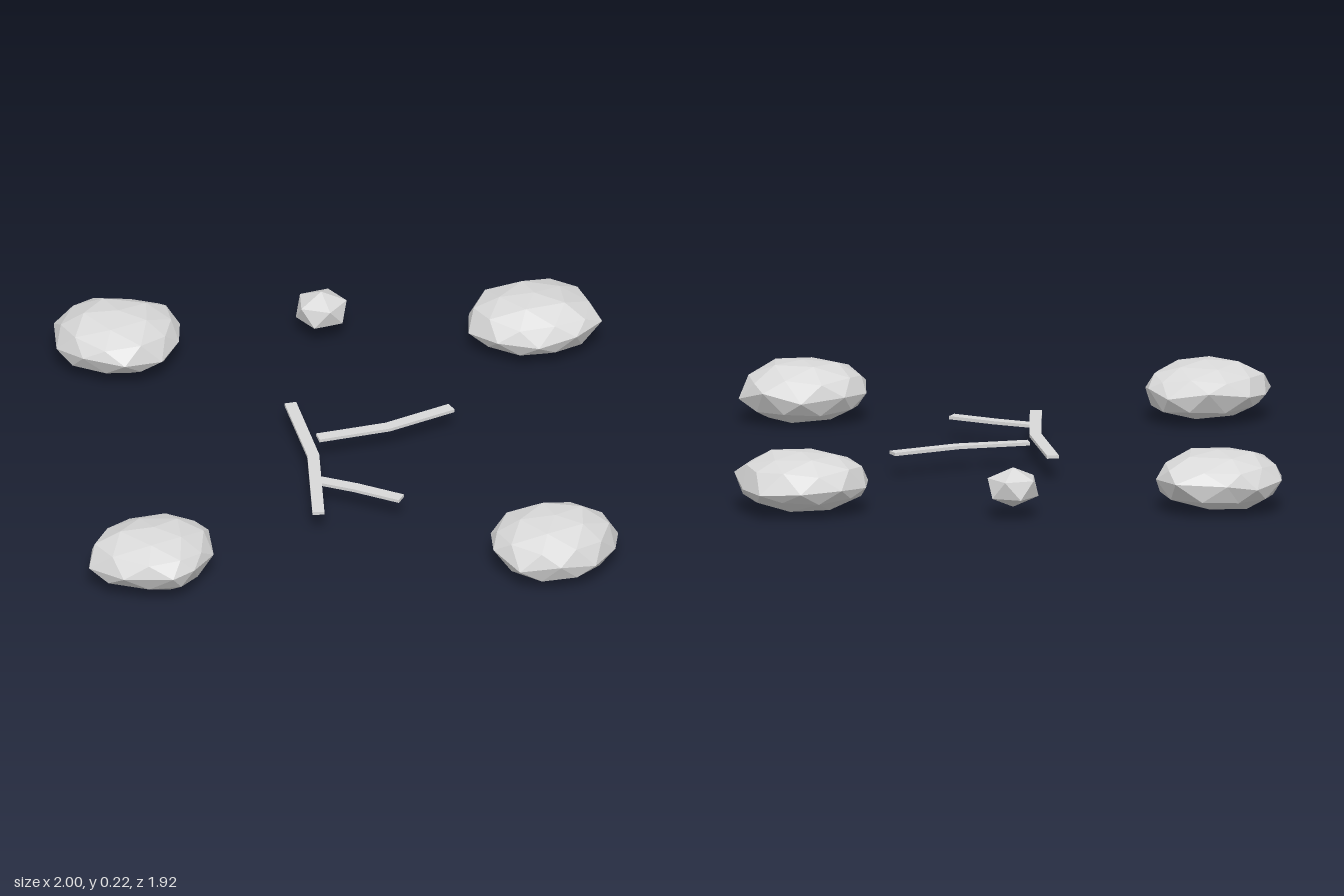
import * as THREE from 'three';

const stone = new THREE.MeshStandardMaterial({ color: 0xd8d8d8, flatShading: true });
stone.name = 'light grey stone';

// icosphere standing on a vertex
function icosphere(detail) {
  return new THREE.IcosahedronGeometry(1, detail).rotateX(-Math.atan((1 + Math.sqrt(5)) / 2));
}

// small repeatable variation, equal for coincident corners
function vary(x, y, z, seed) {
  const s = Math.sin(Math.round(x * 50) * 12.9 + Math.round(y * 50) * 78.2 + Math.round(z * 50) * 37.7 + seed * 5.3) * 437.5;
  return s - Math.floor(s) - 0.5;
}

// flattened boulder whose equator follows a ten-point plan outline [x, z], clockwise from the back
function boulder(name, outline, bottom, top, seed) {
  const geo = icosphere(1), p = geo.attributes.position;
  const cx = outline.reduce((s, o) => s + o[0], 0) / 10;
  const cz = outline.reduce((s, o) => s + o[1], 0) / 10;
  for (let i = 0; i < p.count; i++) {
    const x = p.getX(i), y = p.getY(i), z = p.getZ(i);
    const ring = Math.hypot(x, z);
    const t = ring < 1e-4 ? 0 : Math.atan2(x, -z) / (Math.PI / 5) + 10.5;
    const k = Math.floor(t + 1e-4), f = Math.max(0, t - k);
    const a = outline[k % 10], b = outline[(k + 1) % 10];
    const ox = a[0] + (b[0] - a[0]) * f, oz = a[1] + (b[1] - a[1]) * f;
    const pole = Math.abs(y) > 0.99, equator = ring > 0.99;
    const r = ring * (equator ? 1 : 1.03 + 0.08 * vary(x, y, z, seed));
    const h = pole ? y : y * 1.04 + (equator ? 0.4 : 0.12) * vary(x, y, z, seed + 3);
    p.setXYZ(i, cx + (ox - cx) * r, (bottom + top) / 2 + h * (top - bottom) / 2, cz + (oz - cz) * r);
  }
  geo.computeVertexNormals();
  const mesh = new THREE.Mesh(geo, stone);
  mesh.name = name;
  return mesh;
}

// thin flat strip of constant width along a bent path of [x, z] points
function strip(name, path, width = 0.044) {
  const pts = path.map(([x, z]) => new THREE.Vector2(x, z));
  const left = [], right = [];
  pts.forEach((pt, i) => {
    const before = pts[Math.max(i - 1, 0)], after = pts[Math.min(i + 1, pts.length - 1)];
    const d1 = (i > 0 ? pt.clone().sub(before) : after.clone().sub(pt)).normalize();
    const d2 = (i < pts.length - 1 ? after.clone().sub(pt) : d1.clone()).normalize();
    const d = d1.add(d2).normalize();
    const n = new THREE.Vector2(-d.y, d.x).multiplyScalar(width / 2);
    left.push(pt.clone().add(n));
    right.unshift(pt.clone().sub(n));
  });
  const geo = new THREE.ExtrudeGeometry(new THREE.Shape([...left, ...right]), { depth: 0.012, bevelEnabled: false });
  geo.rotateX(Math.PI / 2).translate(0, 0.097, 0);
  const mesh = new THREE.Mesh(geo, stone);
  mesh.name = name;
  return mesh;
}

export function createModel() {
  const model = new THREE.Group();
  model.name = 'rocksAndCracks';

  // four corner boulders
  model.add(
    boulder('backRightBoulder', [[-0.8, -0.93], [-0.61, -0.92], [-0.54, -0.79], [-0.55, -0.69], [-0.62, -0.57],
      [-0.76, -0.505], [-0.91, -0.57], [-1, -0.67], [-1, -0.82], [-0.91, -0.92]], 0.01, 0.225, 1),
    boulder('backLeftBoulder', [[0.76, -0.965], [0.91, -0.935], [0.97, -0.83], [1, -0.69], [0.9, -0.59],
      [0.76, -0.56], [0.61, -0.59], [0.51, -0.69], [0.52, -0.82], [0.61, -0.92]], 0.01, 0.225, 2),
    boulder('frontRightBoulder', [[-0.75, 0.54], [-0.6, 0.57], [-0.53, 0.64], [-0.52, 0.77], [-0.6, 0.91],
      [-0.68, 0.955], [-0.86, 0.93], [-0.98, 0.82], [-0.96, 0.69], [-0.9, 0.6]], 0.01, 0.225, 3),
    boulder('frontLeftBoulder', [[0.74, 0.56], [0.88, 0.59], [0.967, 0.69], [0.95, 0.79], [0.87, 0.92],
      [0.74, 0.96], [0.59, 0.945], [0.5, 0.835], [0.5, 0.69], [0.58, 0.6]], 0, 0.225, 4),
  );

  // small pebble at the back
  const pebble = new THREE.Mesh(icosphere(0).rotateY(0.3).scale(0.104, 0.074, 0.099), stone);
  pebble.name = 'pebble';
  pebble.position.set(-0.017, 0.116, -0.871);
  model.add(pebble);

  // branching ground crack
  const crack = new THREE.Group();
  crack.name = 'crack';
  crack.add(
    strip('mainCrack', [[-0.17, -0.27], [-0.11, 0.09], [-0.117, 0.48]]),
    strip('longBranch', [[-0.085, -0.033], [0.175, -0.09], [0.416, -0.204]]),
    strip('shortBranch', [[-0.1, 0.258], [0.03, 0.314], [0.192, 0.4]]),
  );
  model.add(crack);
  return model;
}
